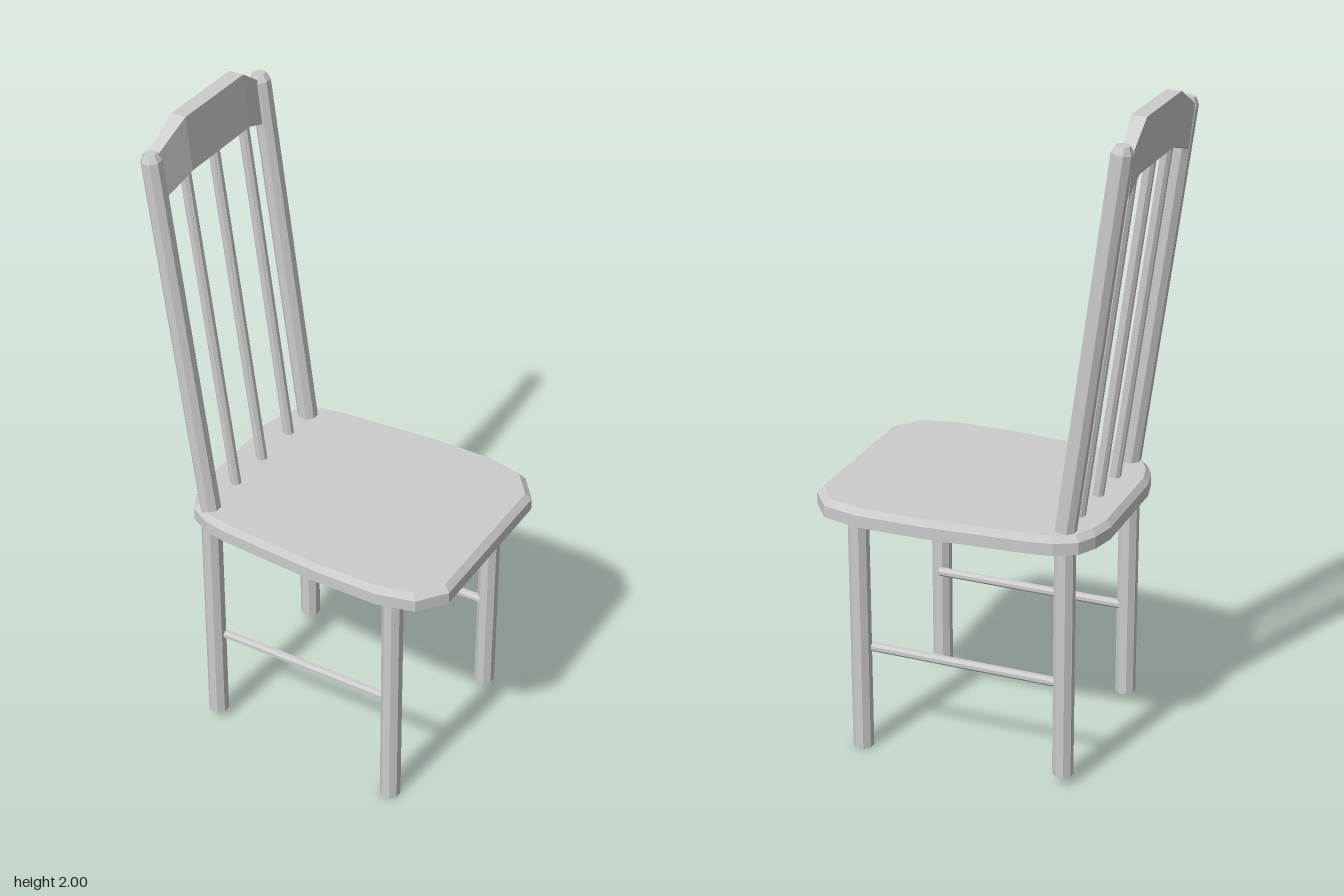
import * as THREE from 'three';

const material = new THREE.MeshStandardMaterial({ color: 0xcccccc, flatShading: true });
const UP = new THREE.Vector3(0, 1, 0);

function addMesh(group, name, geometry) {
  const mesh = new THREE.Mesh(geometry, material);
  mesh.name = name;
  group.add(mesh);
  return mesh;
}

// Octagonal rod between two points; r is half the width across flats, cap the height of a chamfered tip
function addRod(group, name, from, to, r, cap = 0) {
  const a = new THREE.Vector3(...from);
  const dir = new THREE.Vector3(...to).sub(a);
  const length = dir.length();
  const R = r / Math.cos(Math.PI / 8);
  const profile = [[0, 0], [R, 0], [R, length - cap]];
  if (cap) profile.push([R * 0.65, length]);
  profile.push([0, length]);
  const points = profile.map(([x, y]) => new THREE.Vector2(x, y));
  const rod = addMesh(group, name, new THREE.LatheGeometry(points, 8, Math.PI / 8));
  rod.position.copy(a);
  rod.quaternion.setFromUnitVectors(UP, dir.normalize());
}

// Seat board with a chamfered upper edge
function seatGeometry() {
  const half = [[0.48, 0.255], [0.417, 0.337], [0.305, 0.365], [0.1, 0.365],
    [-0.22, 0.342], [-0.29, 0.33], [-0.355, 0.295], [-0.385, 0.24], [-0.403, 0.165]];
  const outline = [...half, ...half.map(([x, z]) => [x, -z]).reverse()];
  const shape = new THREE.Shape(outline.map(([x, z]) => new THREE.Vector2(x, z)));
  const geometry = new THREE.ExtrudeGeometry(shape, { depth: 2, steps: 2, bevelEnabled: false });
  geometry.rotateX(-Math.PI / 2);
  const p = geometry.attributes.position;
  const heights = [0.758, 0.795, 0.814];
  for (let i = 0; i < p.count; i++) {
    const level = Math.round(p.getY(i));
    const s = level === 2 ? 0.963 : 1;
    p.setXYZ(i, p.getX(i) * s, heights[level], p.getZ(i) * s);
  }
  geometry.computeVertexNormals();
  return geometry;
}

// Crest rail: three facets, lower and thinner at its ends, leaning with the posts
function crestGeometry() {
  const sections = [ // z, bottom y, top y, back x and front x at the top
    [-0.25, 1.8, 1.935, -0.48, -0.447],
    [-0.153, 1.84, 2, -0.48, -0.434],
    [0.138, 1.84, 2, -0.48, -0.434],
    [0.26, 1.8, 1.935, -0.48, -0.447]];
  const geometry = new THREE.BoxGeometry(1, 1, 1, 1, 1, 3).toNonIndexed();
  const p = geometry.attributes.position;
  for (let i = 0; i < p.count; i++) {
    const [z, low, high, back, front] = sections[Math.round((p.getZ(i) + 0.5) * 3)];
    const y = p.getY(i) > 0 ? high : low;
    const x = (p.getX(i) > 0 ? front : back) + (high - y) * 0.11;
    p.setXYZ(i, x, y, z);
  }
  geometry.computeVertexNormals();
  return geometry;
}

export function createModel() {
  const chair = new THREE.Group();
  chair.name = 'chair';

  addMesh(chair, 'seat', seatGeometry());
  addMesh(chair, 'crestRail', crestGeometry());

  // Legs, side stretchers and back posts
  for (const s of [1, -1]) {
    const zFront = 0.01 + s * 0.301;
    const zBack = 0.005 + s * 0.274;
    addRod(chair, 'frontLeg', [0.33, 0, zFront], [0.33, 0.77, zFront], 0.029);
    addRod(chair, 'backLeg', [-0.305, 0.028, zBack], [-0.305, 0.77, zBack], 0.029);
    const zBar = -0.003 + s * 0.272;
    addRod(chair, 'stretcher', [-0.29, 0.33, zBar], [0.32, 0.33, zBar], 0.013);
    addRod(chair, 'backPost', [-0.304, 0.795, zBack], [-0.456, 1.95, zBack], 0.029, 0.022);
  }

  // Back spindles
  for (const z of [-0.156, -0.003, 0.142]) {
    addRod(chair, 'spindle', [-0.304, 0.795, z], [-0.444, 1.86, z], 0.0155);
  }
  return chair;
}
